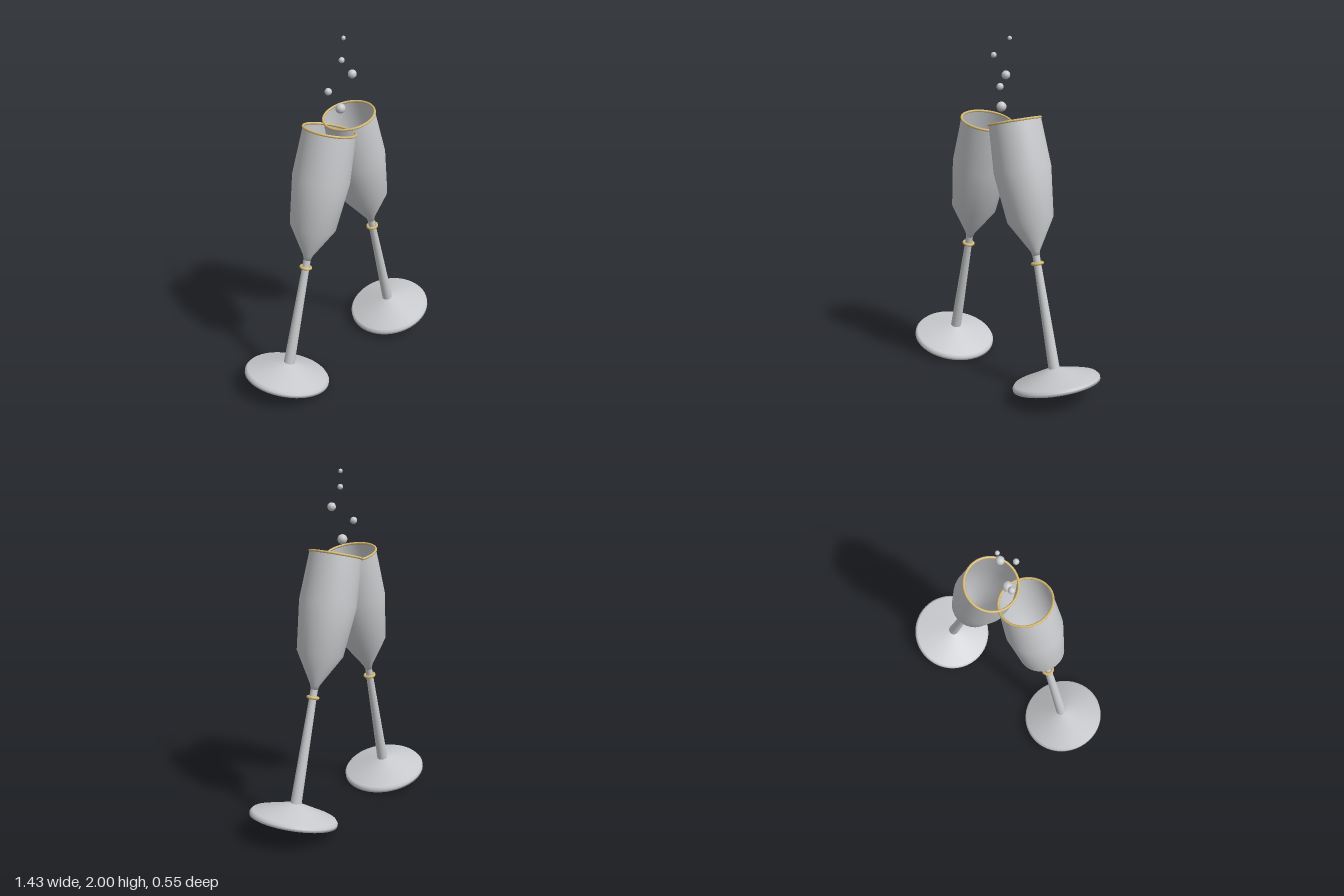
import * as THREE from 'three';

const glass = new THREE.MeshStandardMaterial({ color: 0xc9cacd, side: THREE.DoubleSide });
glass.name = 'glass grey';
const gold = new THREE.MeshStandardMaterial({ color: 0xd4b872 });
gold.name = 'pale gold';

function add(parent, name, geometry, material) {
  const mesh = new THREE.Mesh(geometry, material);
  mesh.name = name;
  parent.add(mesh);
  return mesh;
}

// Turned part from [radius, height] pairs, listed bottom to top
function lathe(profile) {
  return new THREE.LatheGeometry(profile.map(([r, y]) => new THREE.Vector2(r, y)), 48);
}

// Gold band lying flat around the axis of the glass
function band(parent, name, radius, tube, y) {
  const ring = add(parent, name, new THREE.TorusGeometry(radius, tube, 10, 48), gold);
  ring.rotation.x = Math.PI / 2;
  ring.position.y = y;
}

function flute(name) {
  const group = new THREE.Group();
  group.name = name;
  add(group, 'foot', lathe([[0, 0], [0.25, 0], [0.25, 0.016], [0.238, 0.031], [0.031, 0.095]]), glass);
  add(group, 'stem', lathe([[0.032, 0.094], [0.021, 0.7], [0.021, 0.745]]), glass);
  add(group, 'bowl', lathe([[0, 0.742], [0.021, 0.743], [0.027, 0.768], [0.131, 0.946], [0.162, 1.227], [0.147, 1.5]]), glass);
  band(group, 'collar', 0.028, 0.009, 0.697);
  band(group, 'rim', 0.146, 0.007, 1.5);
  return group;
}

export function createModel() {
  const model = new THREE.Group();
  model.name = 'toasting flutes';

  // Two flutes leaning together until the bowls meet
  const right = flute('rightFlute');
  right.position.set(-0.474, 0.062, 0.022);
  right.rotation.z = THREE.MathUtils.degToRad(-14);
  const left = flute('leftFlute');
  left.position.set(0.472, 0.088, -0.024);
  left.rotation.z = THREE.MathUtils.degToRad(15);
  model.add(right, left);

  // Rising bubbles: x, y, z, radius
  const bubbles = [
    [-0.006, 1.609, 0, 0.028],
    [-0.064, 1.711, -0.035, 0.02],
    [0.062, 1.794, 0.022, 0.024],
    [-0.031, 1.895, 0.034, 0.016],
    [0.039, 1.988, -0.022, 0.012],
  ];
  for (const [x, y, z, r] of bubbles) {
    add(model, 'bubble', new THREE.SphereGeometry(r, 20, 14), glass).position.set(x, y, z);
  }
  return model;
}
